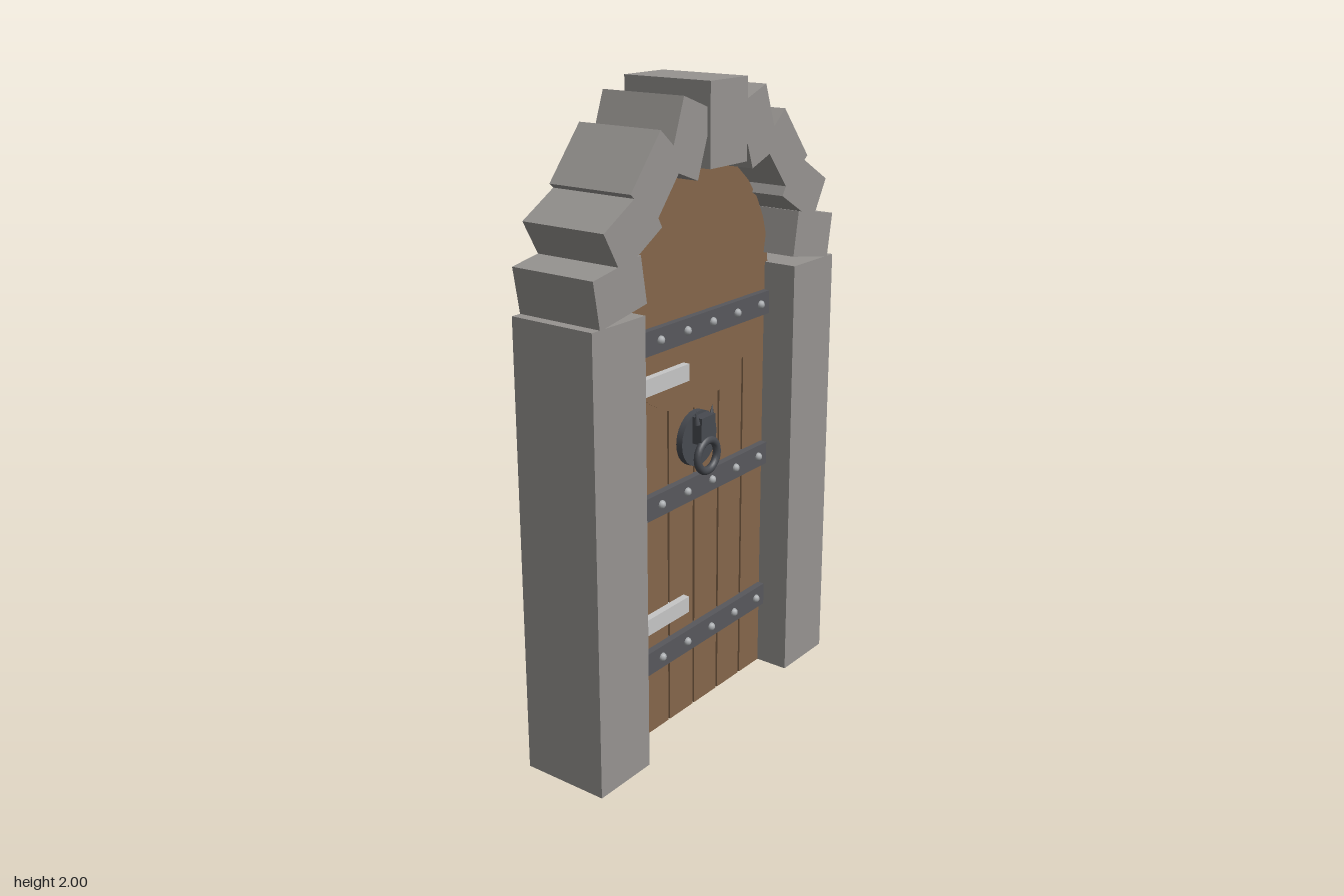
import * as THREE from 'three';

const mat = (name, color) => {
  const m = new THREE.MeshStandardMaterial({ color });
  m.name = name;
  return m;
};

export function createModel() {
  const model = new THREE.Group();
  model.name = 'archedDoorway';

  const stone = mat('grey stone', 0x969390);
  const wood = mat('brown wood', 0x85664a);
  const iron = mat('dark iron', 0x57585c);
  const blackIron = mat('blackened iron', 0x474a50);
  const rivetMetal = mat('rivet metal', 0xa4a7aa);
  const paleMetal = mat('pale metal', 0xc6c6c6);

  const add = (name, geometry, material, x, y, z = 0, parent = model) => {
    const mesh = new THREE.Mesh(geometry, material);
    mesh.name = name;
    mesh.position.set(x, y, z);
    parent.add(mesh);
    return mesh;
  };
  const box = (w, h, d) => new THREE.BoxGeometry(w, h, d);

  // Stone pillars and the crooked arch stones, mirrored about the keystone
  const springY = 1.4, archRadius = 0.48;
  for (const side of [-1, 1]) {
    add(side > 0 ? 'leftPillar' : 'rightPillar', box(0.222, springY, 0.284), stone, side * 0.481, springY / 2);
    for (let i = 0; i < 4; i++) {
      const angle = THREE.MathUtils.degToRad(10 + 20 * i);
      const block = add('archStone', box(0.14, 0.2, 0.284), stone,
        side * archRadius * Math.cos(angle), springY + archRadius * Math.sin(angle));
      block.rotation.z = side * (Math.PI / 2 - angle);
    }
  }
  add('keystone', box(0.178, 0.24, 0.304), stone, 0, 1.88);

  // Door: six planks with narrow gaps, and a round panel filling the arch
  const pitch = 0.1275;
  for (let i = 0; i < 6; i++) {
    add('plank', box(pitch - 0.009, springY, 0.06), wood, (i - 2.5) * pitch, springY / 2);
  }
  const panel = new THREE.CylinderGeometry(0.384, 0.384, 0.062, 32).rotateX(Math.PI / 2);
  add('archPanel', panel, wood, 0, springY);

  // Iron bands with rivets
  const rivet = new THREE.SphereGeometry(0.014, 10, 8);
  for (const y of [0.258, 0.767, 1.275]) {
    add('ironBand', box(0.73, 0.074, 0.03), iron, 0, y, 0.038);
    for (let i = 0; i < 6; i++) add('rivet', rivet, rivetMetal, (i - 2.5) * 0.127, y, 0.053);
  }

  // Hinge straps on one edge
  for (const y of [0.384, 1.145]) {
    add('hingeStrap', box(0.314, 0.053, 0.03), paleMetal, -0.21, y, 0.038);
  }

  // Knocker: back plate, hanger with two small horns, and a ring
  const knocker = new THREE.Group();
  knocker.name = 'knocker';
  model.add(knocker);
  const plate = new THREE.CylinderGeometry(0.088, 0.088, 0.024, 24).rotateX(Math.PI / 2);
  add('knockerPlate', plate, blackIron, 0, 0.922, 0.04, knocker);
  add('knockerHanger', box(0.07, 0.085, 0.04), blackIron, 0, 0.957, 0.066, knocker);
  for (const side of [-1, 1]) {
    const horn = add('knockerHorn', new THREE.ConeGeometry(0.011, 0.045, 8), blackIron,
      side * 0.038, 1.002, 0.07, knocker);
    horn.rotation.z = -side * 0.15;
  }
  add('knockerRing', new THREE.TorusGeometry(0.049, 0.013, 10, 28), blackIron, 0, 0.873, 0.082, knocker);

  return model;
}
